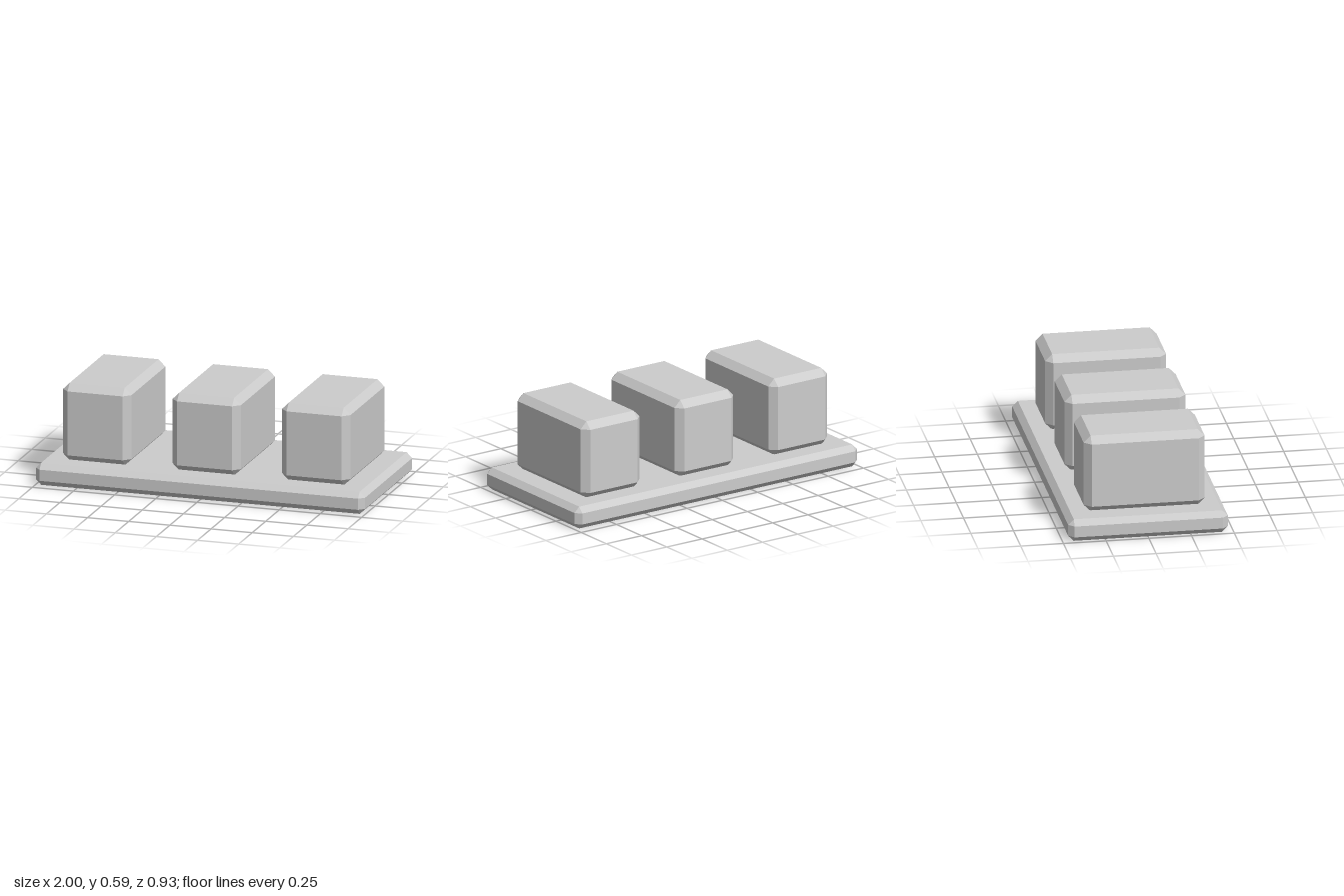
import * as THREE from 'three';
import { ConvexGeometry } from 'three/addons/geometries/ConvexGeometry.js';

// Box with every edge cut at 45 degrees and triangular corners
function chamferedBox(width, height, depth, cut) {
  const x = width / 2, y = height / 2, z = depth / 2;
  const points = [];
  for (const sx of [-1, 1]) for (const sy of [-1, 1]) for (const sz of [-1, 1]) {
    points.push(
      new THREE.Vector3(sx * x, sy * (y - cut), sz * (z - cut)),
      new THREE.Vector3(sx * (x - cut), sy * y, sz * (z - cut)),
      new THREE.Vector3(sx * (x - cut), sy * (y - cut), sz * z)
    );
  }
  return new ConvexGeometry(points);
}

export function createModel() {
  const group = new THREE.Group();
  const grey = new THREE.MeshStandardMaterial({ color: 0xcccccc, flatShading: true });
  grey.name = 'lightGrey';

  // Flat plate
  const base = new THREE.Mesh(chamferedBox(2, 0.133, 0.934, 0.033), grey);
  base.name = 'basePlate';
  base.position.y = 0.0665;
  group.add(base);

  // Three blocks in a row, sunk slightly into the plate
  const blockGeometry = chamferedBox(0.416, 0.466, 0.708, 0.041);
  ['rightBlock', 'middleBlock', 'leftBlock'].forEach((name, i) => {
    const block = new THREE.Mesh(blockGeometry, grey);
    block.name = name;
    block.position.set((i - 1) * 0.665 - 0.002, 0.359, 0);
    group.add(block);
  });

  return group;
}
